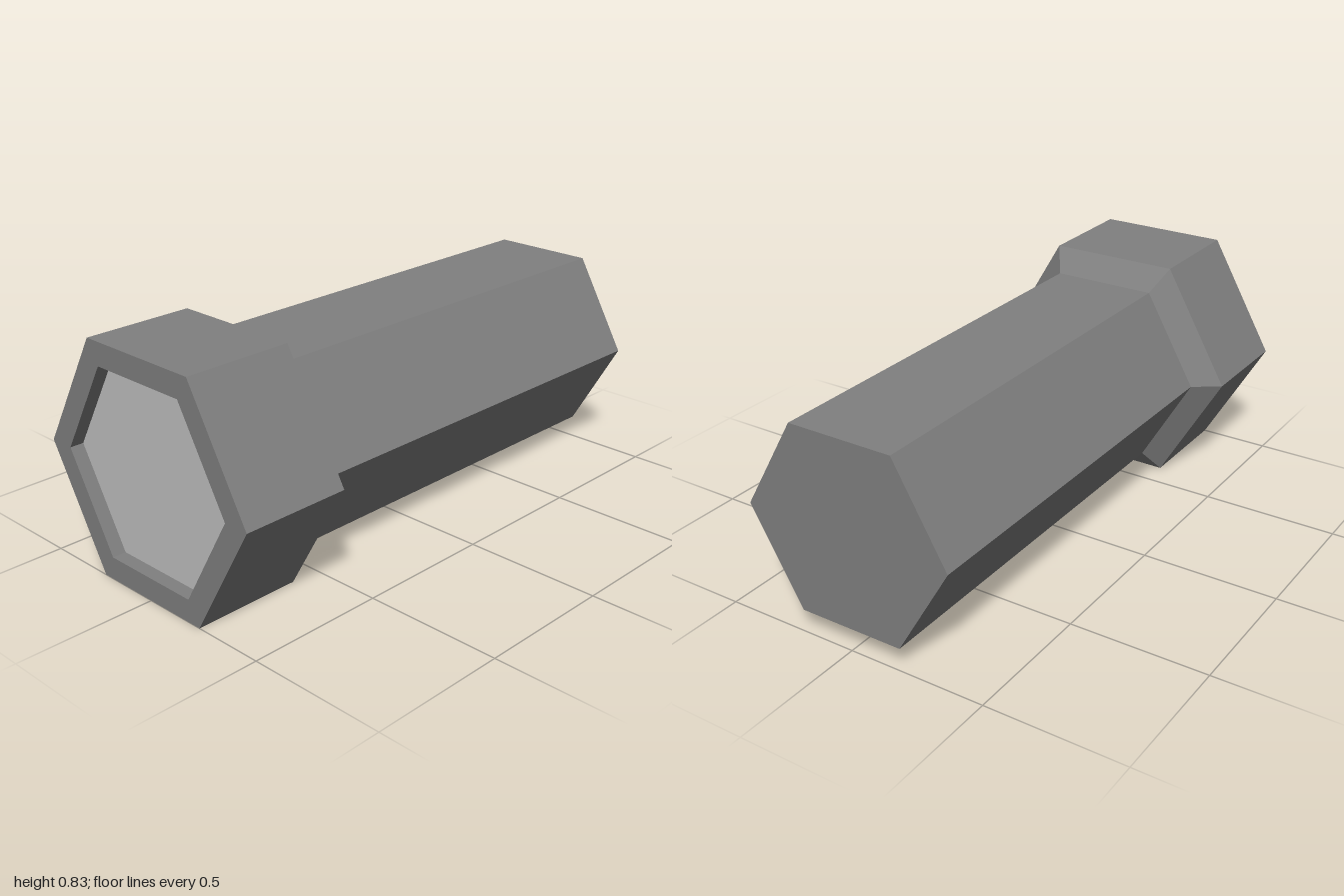
import * as THREE from 'three';

const SHAFT_R = 0.385, HEAD_R = 0.48, RECESS = 0.05;

export function createModel() {
  const grey = new THREE.MeshStandardMaterial({ color: 0x808080 });
  grey.name = 'midGrey';
  const light = new THREE.MeshStandardMaterial({ color: 0xc0c0c0 });
  light.name = 'lightGrey';

  const group = new THREE.Group();
  group.name = 'hexBolt';
  const centreY = HEAD_R * Math.sqrt(3) / 2;

  function add(name, geometry, material, x = 0) {
    const mesh = new THREE.Mesh(geometry, material);
    mesh.name = name;
    mesh.position.set(x, centreY, 0);
    group.add(mesh);
  }

  // Six-sided band swept round the x axis from [radius, x] pairs, with flat faces
  function hexSweep(profile) {
    const points = profile.map(([r, x]) => new THREE.Vector2(r, x));
    const geometry = new THREE.LatheGeometry(points, 6).toNonIndexed();
    geometry.rotateZ(-Math.PI / 2);
    geometry.computeVertexNormals();
    return geometry;
  }

  // Head: recess wall, rim, sides and the bevel down to the shaft
  add('head', hexSweep([
    [SHAFT_R, -1 + RECESS], [SHAFT_R, -1], [HEAD_R, -1], [HEAD_R, -0.605], [SHAFT_R, -0.537],
  ]), grey);

  // Shaft sides and its flat end
  add('shaft', hexSweep([[SHAFT_R, -0.537], [SHAFT_R, 1]]), grey);
  add('shaftEnd', new THREE.CircleGeometry(SHAFT_R, 6).rotateY(Math.PI / 2), grey, 1);

  // Paler floor of the shallow recess in the head
  add('recessFloor', new THREE.CircleGeometry(SHAFT_R, 6).rotateY(-Math.PI / 2), light, -1 + RECESS);

  return group;
}
